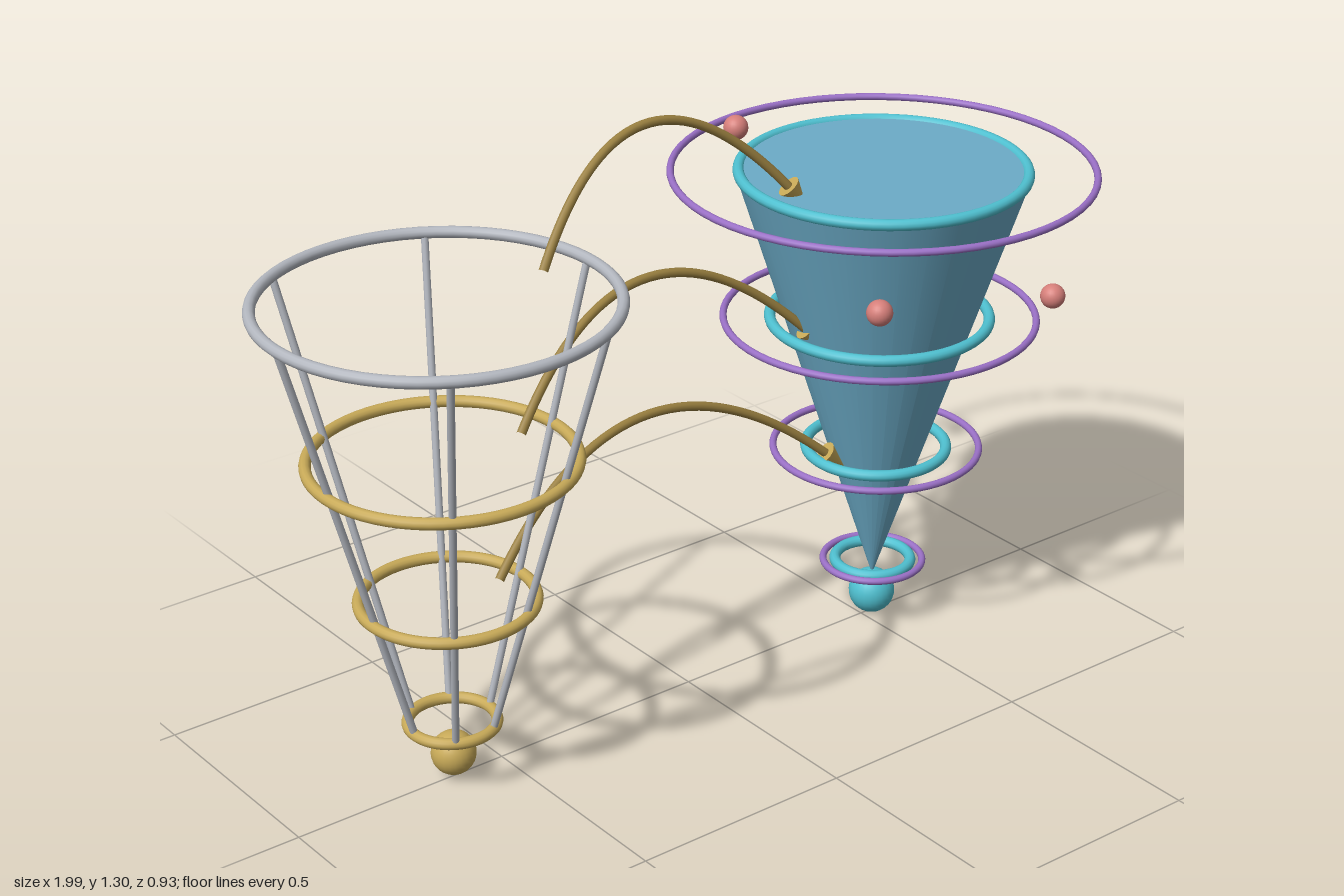
import * as THREE from 'three';

const mat = (name, color, side = THREE.FrontSide) => {
  const m = new THREE.MeshStandardMaterial({ color, side });
  m.name = name;
  return m;
};

export function createModel() {
  const silver = mat('silver', 0xb3b7bf);
  const gold = mat('gold', 0xc8aa58);
  const darkGold = mat('dark gold', 0x9a8040);
  const blue = mat('blue', 0x6cacc8);
  const cyan = mat('cyan', 0x4fc0d0);
  const purple = mat('purple', 0x9a70c6);
  const pink = mat('pink', 0xd67f7a);

  const model = new THREE.Group();
  model.name = 'pairedCones';
  const add = (parent, name, geometry, material, x = 0, y = 0, z = 0) => {
    const mesh = new THREE.Mesh(geometry, material);
    mesh.name = name;
    mesh.position.set(x, y, z);
    parent.add(mesh);
    return mesh;
  };
  const ring = (parent, name, radius, tube, material, y) =>
    add(parent, name, new THREE.TorusGeometry(radius, tube, 12, 64).rotateX(Math.PI / 2), material, 0, y, 0);
  const ball = (parent, name, r, material, x, y, z) =>
    add(parent, name, new THREE.SphereGeometry(r, 24, 16), material, x, y, z);
  const up = new THREE.Vector3(0, 1, 0);

  const levels = [1.075, 0.735, 0.42, 0.133];
  const cageX = -0.62, coneX = 0.53;
  const cageRadii = [0.363, 0.273, 0.182, 0.093];
  const innerRadii = [0.311, 0.24, 0.156, 0.085];
  const outerRadii = [0.457, 0.342, 0.229, 0.112];

  // Open cage: four rings, six slanted rods and a ball foot
  const cage = new THREE.Group();
  cage.name = 'cage';
  cage.position.x = cageX;
  model.add(cage);
  levels.forEach((y, i) => ring(cage, 'cageRing', cageRadii[i], 0.0125, i ? gold : silver, y));
  for (let i = 0; i < 6; i++) {
    const a = i * Math.PI / 3;
    const at = (r, y) => new THREE.Vector3(r * Math.cos(a), y, r * Math.sin(a));
    const low = at(cageRadii[3], levels[3]), high = at(cageRadii[0], levels[0]);
    const dir = high.clone().sub(low);
    const rod = add(cage, 'cageRod', new THREE.CylinderGeometry(0.008, 0.008, dir.length(), 10), silver);
    rod.position.copy(low).lerp(high, 0.5);
    rod.quaternion.setFromUnitVectors(up, dir.normalize());
  }
  ball(cage, 'cageFoot', 0.048, gold, 0, 0.057, 0);

  // Solid cone with close cyan rings and wide purple rings
  const funnel = new THREE.Group();
  funnel.name = 'solidCone';
  funnel.position.x = coneX;
  model.add(funnel);
  add(funnel, 'coneBody', new THREE.CylinderGeometry(0.32, 0.004, 0.975, 32), blue, 0, 0.5925, 0);
  levels.forEach((y, i) => {
    ring(funnel, 'innerRing', innerRadii[i], 0.0125, cyan, y);
    ring(funnel, 'outerRing', outerRadii[i], 0.008, purple, y);
  });
  ball(funnel, 'coneFoot', 0.052, cyan, 0, 0.052, 0);

  // Arching arrows from the cage to the cone
  for (let i = 0; i < 3; i++) {
    const y = levels[i];
    const start = new THREE.Vector3(cageX + cageRadii[i] * 0.7, y, 0);
    const end = new THREE.Vector3(coneX - innerRadii[i] * 0.77, y, 0);
    const peak = start.clone().lerp(end, 0.5).add(new THREE.Vector3(0, 0.43, -0.16));
    const curve = new THREE.QuadraticBezierCurve3(start, peak, end);
    add(model, 'arrowArc', new THREE.TubeGeometry(curve, 40, 0.01, 10), darkGold);
    const head = add(model, 'arrowHead', new THREE.ConeGeometry(0.026, 0.06, 16), gold);
    head.position.copy(end);
    head.quaternion.setFromUnitVectors(up, curve.getTangent(1));
  }

  // Small beads around the cone
  for (const [x, y, z] of [[0.26, 0.92, 0.303], [0.443, 1.075, -0.396], [0.902, 0.735, 0.158]])
    ball(model, 'bead', 0.028, pink, x, y, z);

  return model;
}
